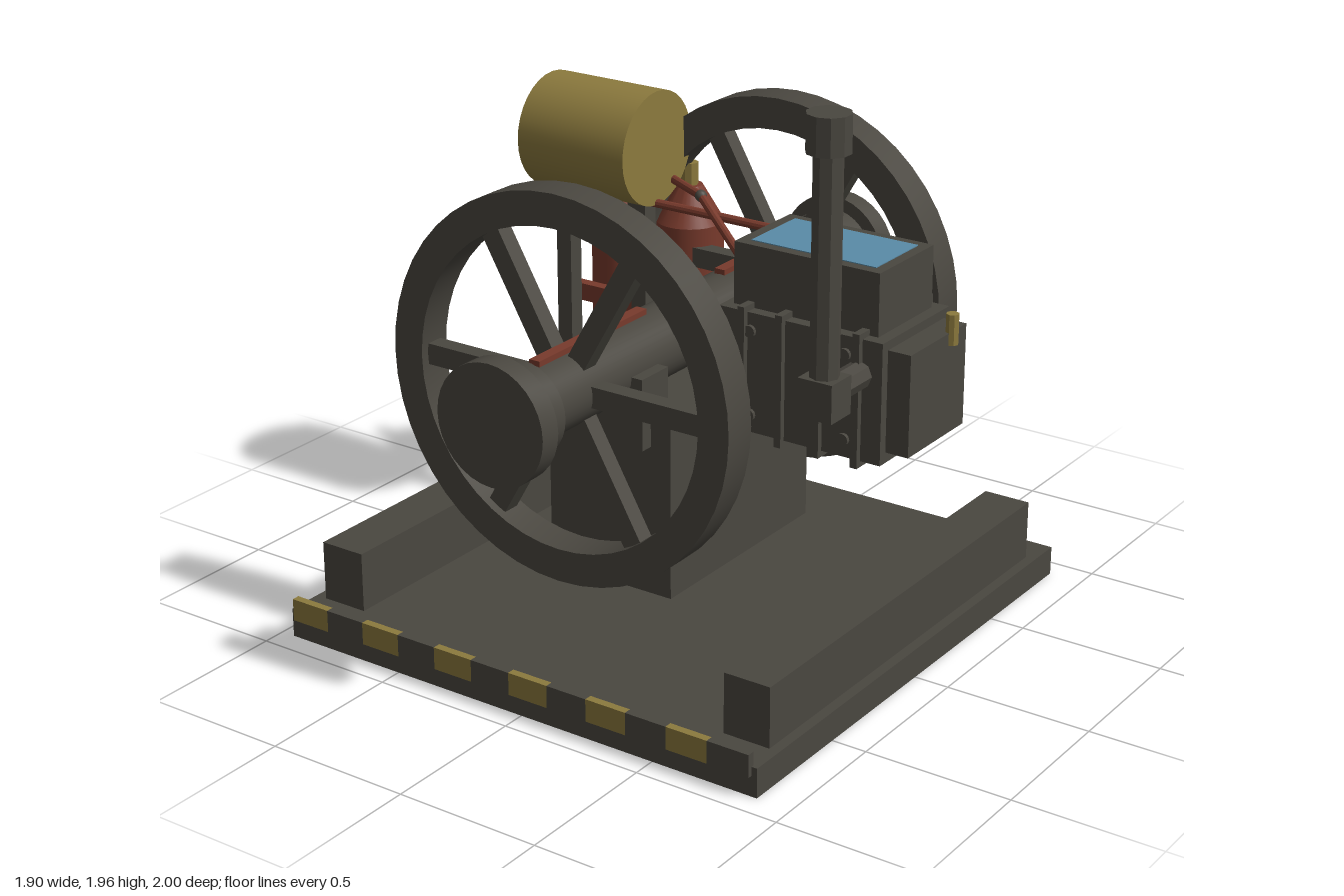
import * as THREE from 'three';
import { toCreasedNormals } from 'three/addons/utils/BufferGeometryUtils.js';

const material = (name, color) => {
  const m = new THREE.MeshStandardMaterial({ color });
  m.name = name;
  return m;
};

export function createModel() {
  const iron = material('dark iron', 0x4a4740);
  const brass = material('brass', 0x8c7a3e);
  const red = material('oxide red', 0x783a2c);
  const blue = material('water blue', 0x5a8ca8);
  const model = new THREE.Group();
  model.name = 'stationaryEngine';

  const add = (name, geometry, mat, parent = model) => {
    const mesh = new THREE.Mesh(geometry, mat);
    mesh.name = name;
    parent.add(mesh);
    return mesh;
  };
  // Box given by its limits on each axis
  const box = (name, mat, x0, x1, y0, y1, z0, z1) => {
    const g = new THREE.BoxGeometry(x1 - x0, y1 - y0, z1 - z0);
    g.translate((x0 + x1) / 2, (y0 + y1) / 2, (z0 + z1) / 2);
    return add(name, g, mat);
  };
  // Cylinder or cone running from point a to point b
  const rod = (name, mat, a, b, r0, r1 = r0, sides = 32) => {
    const p = new THREE.Vector3(...a), q = new THREE.Vector3(...b);
    const d = q.clone().sub(p);
    const g = toCreasedNormals(new THREE.CylinderGeometry(r1, r0, d.length(), sides), 0.6);
    const mesh = add(name, g, mat);
    mesh.position.copy(p).add(q).multiplyScalar(0.5);
    mesh.quaternion.setFromUnitVectors(new THREE.Vector3(0, 1, 0), d.normalize());
    return mesh;
  };

  // Base plate, side rails and hazard strip
  box('basePlate', iron, -0.95, 0.88, 0, 0.1, -0.92, 0.92);
  box('rightRail', iron, -0.91, -0.745, 0.1, 0.305, -0.8, 0.8);
  box('leftRail', iron, 0.68, 0.845, 0.1, 0.305, -0.8, 0.8);
  for (let i = 0; i < 12; i++) {
    const x = -0.93 + i * 0.1492;
    box('hazardStripe', i % 2 ? iron : brass, x, x + 0.1492, 0.07, 0.147, 0.91, 0.937);
  }

  // Crankcase and accessory box
  box('crankcase', iron, -0.27, 0.205, 0.25, 0.84, -0.4, 0.4);
  box('magnetoBox', iron, 0.265, 0.467, 0.5, 0.705, -0.575, -0.43);

  // Crankshaft, flywheels and matching end fittings
  const cx = -0.03, cy = 1;
  rod('crankshaft', iron, [cx, cy, -0.84], [cx, cy, 0.84], 0.12);
  const rim = new THREE.Shape().absarc(0, 0, 0.64, 0, Math.PI * 2);
  rim.holes.push(new THREE.Path().absarc(0, 0, 0.53, 0, Math.PI * 2, true));
  const rimGeometry = toCreasedNormals(
    new THREE.ExtrudeGeometry(rim, { depth: 0.12, bevelEnabled: false, curveSegments: 24 }), 0.6);
  rimGeometry.translate(0, 0, -0.06);
  for (const s of [1, -1]) {
    rod('shaftCollar', iron, [cx, cy, s * 0.83], [cx, cy, s * 0.925], 0.155);
    rod('endPulley', iron, [cx, cy, s * 0.925], [cx, cy, s], 0.2);
    const z0 = Math.min(s * 0.305, s * 0.445);
    box('bearingBlock', iron, -0.195, 0.13, 0.76, 1.0, z0, z0 + 0.14);
    const r0 = Math.min(s * 0.22, s * 0.775);
    box('shaftKey', red, -0.052, -0.013, 1.1, 1.137, r0, r0 + 0.555);

    const wheel = new THREE.Group();
    wheel.name = 'flywheel';
    wheel.position.set(cx, cy, s * 0.617);
    model.add(wheel);
    add('rim', rimGeometry, iron, wheel);
    for (let i = 0; i < 6; i++) {
      const g = new THREE.BoxGeometry(0.45, 0.07, 0.06);
      g.translate(0.315, 0, 0);
      add('spoke', g, iron, wheel).rotation.z = (i * Math.PI) / 3;
    }
  }

  // Connecting rod and crank pin
  rod('connectingRod', iron, [0.05, 1, 0], [0.3, 1, 0], 0.025, 0.025, 12);
  box('rodEnd', iron, 0.075, 0.15, 0.96, 1.04, -0.04, 0.04);
  rod('crankPin', red, [0.11, 1, -0.095], [0.11, 1, 0.095], 0.03, 0.03, 12);
  for (const s of [1, -1]) {
    box('pinCap', iron, 0.075, 0.145, 0.965, 1.035, s * 0.075 - 0.022, s * 0.075 + 0.022);
  }

  // Cylinder block with ribs, head and bolts
  box('cylinderBlock', iron, 0.25, 0.845, 0.8, 1.2, -0.2, 0.2);
  box('cylinderHead', iron, 0.845, 0.925, 0.835, 1.17, -0.168, 0.168);
  for (const x of [0.345, 0.484, 0.622, 0.762]) {
    box('rib', iron, x - 0.0125, x + 0.0125, 0.78, 1.22, -0.22, 0.22);
  }
  for (const s of [1, -1]) for (const x of [0.37, 0.715]) for (const y of [0.86, 1.14]) {
    rod('blockBolt', iron, [x, y, s * 0.19], [x, y, s * 0.212], 0.02, 0.02, 12);
  }
  rod('sparkPlug', brass, [0.925, 1.13, -0.08], [0.925, 1.23, -0.08], 0.021, 0.021, 8);

  // Water hopper
  box('hopper', iron, 0.28, 0.805, 1.2, 1.405, -0.16, 0.16);
  box('waterSurface', blue, 0.32, 0.77, 1.403, 1.408, -0.125, 0.125);

  // Exhaust
  rod('exhaustBranch', iron, [0.765, 1.085, 0.19], [0.765, 1.085, 0.37], 0.045, 0.045, 8);
  box('exhaustElbow', iron, 0.705, 0.825, 1.02, 1.145, 0.345, 0.455);
  rod('exhaustStack', iron, [0.765, 1.1, 0.4], [0.765, 1.86, 0.4], 0.047, 0.047, 8);
  rod('exhaustCap', iron, [0.765, 1.84, 0.4], [0.765, 1.96, 0.4], 0.07, 0.07, 10);

  // Fuel tank on posts
  rod('fuelTank', brass, [-0.85, 1.44, -0.4], [-0.41, 1.44, -0.4], 0.2);
  for (const x of [-0.79, -0.47]) {
    box('tankPost', iron, x - 0.03, x + 0.03, 0, 1.26, -0.43, -0.37);
  }

  // Gas bottles with valves and strap
  for (const x of [-0.75, -0.47]) {
    rod('gasBottle', red, [x, 0.1, -0.68], [x, 1.1, -0.68], 0.12);
    rod('bottleShoulder', red, [x, 1.1, -0.68], [x, 1.23, -0.68], 0.12, 0.045);
    rod('bottleValve', brass, [x, 1.22, -0.68], [x, 1.31, -0.68], 0.03, 0.03, 8);
  }
  box('bottleStrap', red, -0.91, -0.31, 0.77, 0.833, -0.56, -0.52);

  // Fuel and gas lines with joints
  const lines = [
    [[-0.75, 1.305, -0.68], [-0.23, 1.305, -0.4], [0.17, 1.12, -0.17]],
    [[-0.63, 1.245, -0.4], [0.07, 1.245, -0.4], [0.3, 1.13, -0.19]],
  ];
  for (const [a, b, c] of lines) {
    rod('feedPipe', red, a, b, 0.015, 0.015, 10);
    rod('feedPipe', red, b, c, 0.015, 0.015, 10);
    add('pipeJoint', new THREE.SphereGeometry(0.021, 12, 8), iron).position.set(...b);
  }
  return model;
}
